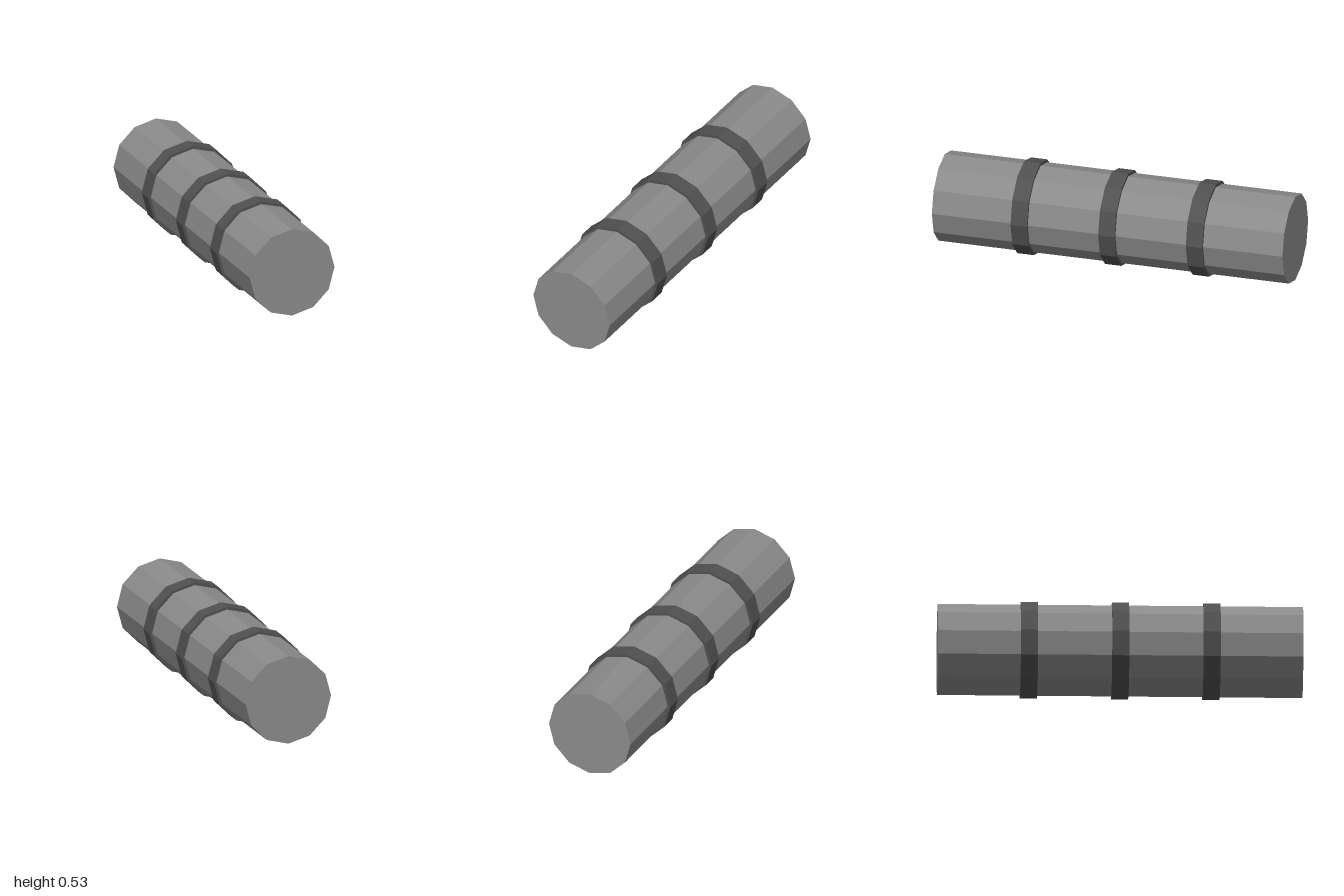
import * as THREE from 'three';

const SIDES = 12;
const BODY_RADIUS = 0.25;
const BAND_RADIUS = 0.2656;

// Faceted cylinder lying along z
function lyingCylinder(name, radius, length, z, material) {
  const geometry = new THREE.CylinderGeometry(radius, radius, length, SIDES);
  geometry.rotateX(Math.PI / 2);
  const mesh = new THREE.Mesh(geometry, material);
  mesh.name = name;
  mesh.position.set(0, BAND_RADIUS, z);
  return mesh;
}

export function createModel() {
  const model = new THREE.Group();
  model.name = 'bandedPipe';
  const bodyMaterial = new THREE.MeshStandardMaterial({ color: 0x8a8a8a, flatShading: true });
  const bandMaterial = new THREE.MeshStandardMaterial({ color: 0x505050, flatShading: true });

  // Main pipe with closed ends
  model.add(lyingCylinder('pipe', BODY_RADIUS, 2, 0, bodyMaterial));

  // Three raised bands, evenly spaced
  ['backBand', 'middleBand', 'frontBand'].forEach((name, i) => {
    model.add(lyingCylinder(name, BAND_RADIUS, 0.094, (i - 1) * 0.5, bandMaterial));
  });
  return model;
}
